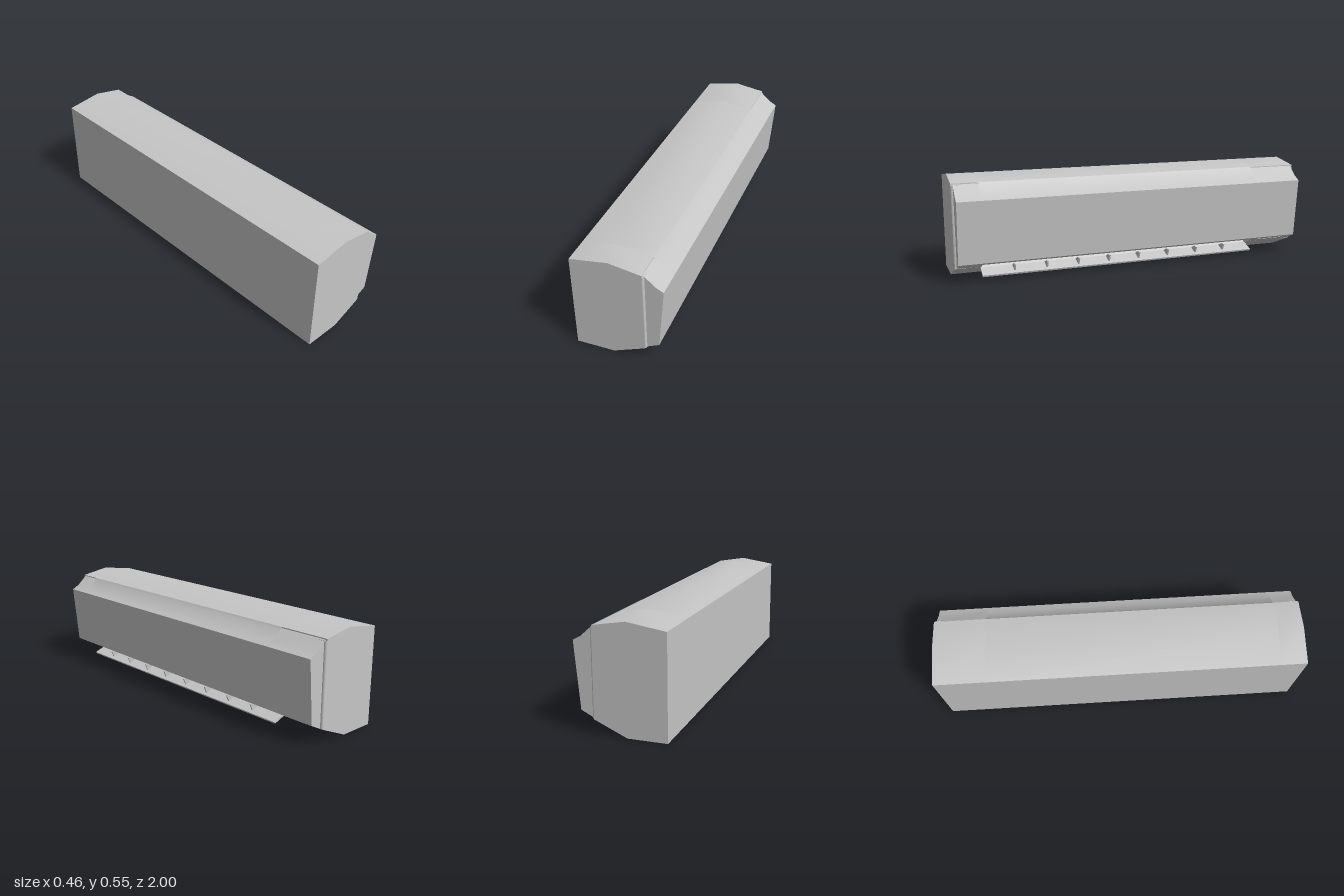
import * as THREE from 'three';
import { toCreasedNormals } from 'three/addons/utils/BufferGeometryUtils.js';

const Z0 = -0.72, Z1 = 0.86; // ends of the air outlet

export function createModel() {
  const group = new THREE.Group();
  const casing = new THREE.MeshStandardMaterial({ color: 0xc6c6c6 });
  casing.name = 'casing grey';

  // Side profile (x, y) swept from z0 to z1
  function sweep(name, pts, z0, z1) {
    const shape = new THREE.Shape(pts.map(([x, y]) => new THREE.Vector2(x, y)));
    const geo = new THREE.ExtrudeGeometry(shape, { depth: z1 - z0, bevelEnabled: false });
    geo.translate(0, 0, z0);
    const mesh = new THREE.Mesh(toCreasedNormals(geo, 0.5), casing);
    mesh.name = name;
    group.add(mesh);
    return mesh;
  }

  const bottom = [[-0.232, 0.001], [-0.035, 0.001]];
  const top = [[0.13, 0.519], [-0.035, 0.547], [-0.232, 0.517]];
  const front = [[0.2, 0.108], [0.23, 0.44], [0.19, 0.462], [0.138, 0.508]];

  // Centre of the casing, with the outlet channel cut into the underside
  const channel = [[0.085, 0.054], [0.03, 0.115], [0.08, 0.16], [0.172, 0.094]];
  sweep('casingCentre', [...bottom, ...channel, ...front, ...top], Z0, Z1);

  // Solid ends of the body and the slightly shorter front panel
  const body = [...bottom, [0.13, 0.073], ...top];
  const panel = [[0.125, 0.071], ...front, [0.125, 0.517]];
  sweep('bodyEnd', body, -1, Z0);
  sweep('bodyEnd', body, Z1, 1);
  sweep('frontPanelEnd', panel, -0.988, Z0);
  sweep('frontPanelEnd', panel, Z1, 0.988);

  // Rounded upright edges between body and panel
  for (const s of [-1, 1]) {
    const edge = new THREE.Shape();
    edge.moveTo(0.12, -s * 0.95);
    edge.lineTo(0.12, -s);
    edge.lineTo(0.13, -s);
    edge.quadraticCurveTo(0.138, -s, 0.138, -s * 0.988);
    edge.lineTo(0.138, -s * 0.95);
    const geo = new THREE.ExtrudeGeometry(edge, { depth: 0.433, bevelEnabled: false, curveSegments: 4 });
    geo.rotateX(-Math.PI / 2).translate(0, 0.076, 0);
    const mesh = new THREE.Mesh(toCreasedNormals(geo, 0.6), casing);
    mesh.name = 'bodyEdge';
    group.add(mesh);
  }

  // Open air flap
  sweep('flap', [[0.08, 0.053], [0.156, 0.023], [0.16, 0.032], [0.09, 0.059]], Z0, Z1);

  // Small brackets along the flap
  for (let i = 0; i < 8; i++) {
    const z = 0.687 - i * 0.176;
    sweep('flapBracket', [[0.092, 0.057], [0.14, 0.038], [0.156, 0.075], [0.135, 0.078]], z - 0.004, z + 0.004);
  }

  // Thin indicator strip under the panel
  sweep('indicatorStrip', [[0.14, 0.076], [0.168, 0.09], [0.167, 0.094], [0.139, 0.08]], -0.92, -0.76);

  return group;
}
